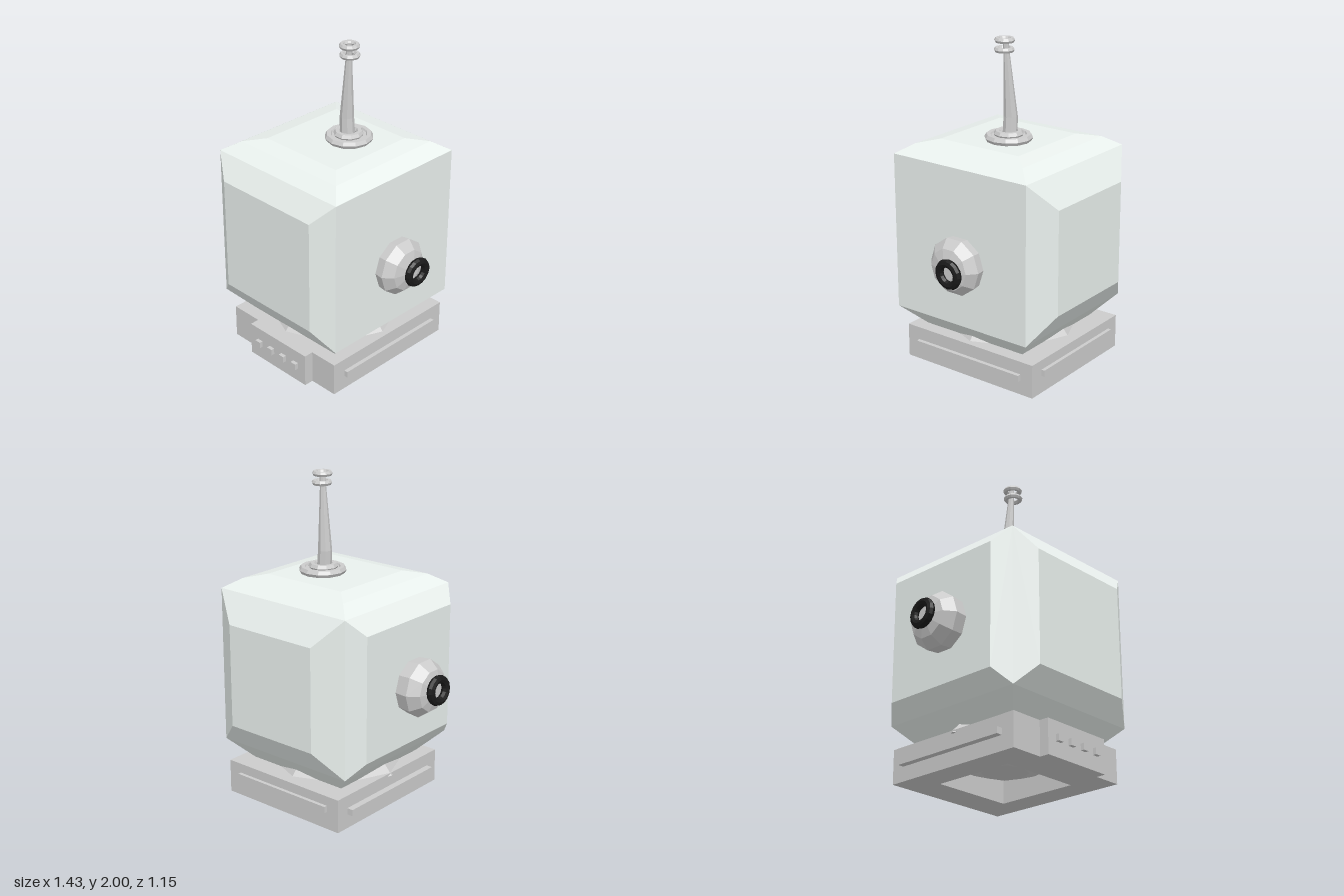
import * as THREE from 'three';

const mat = (color) => new THREE.MeshStandardMaterial({ color, flatShading: true, side: THREE.DoubleSide });
const grey = mat(0xcccccc), shell = mat(0xe9f0ed), black = mat(0x1a1a1a);

function add(parent, name, geometry, material, x = 0, y = 0, z = 0) {
  const m = new THREE.Mesh(geometry, material);
  m.name = name;
  m.position.set(x, y, z);
  parent.add(m);
  return m;
}

// A box whose sides each step outward through smaller rectangles.
// Rectangles lie on axis n as [position, a0, a1, b0, b1], a and b being the next axes in cyclic order.
function headGeometry() {
  const min = [-0.425, 0.34, -0.475], max = [0.535, 1.31, 0.49];
  const panels = [
    [0, 1, []],
    [0, -1, [[-0.51, 0.44, 1.21, -0.385, 0.40]]],
    [1, 1, [[1.368, -0.385, 0.40, -0.335, 0.445], [1.39, -0.275, 0.295, -0.225, 0.34]]],
    [1, -1, [[0.21, -0.355, 0.37, -0.295, 0.405]]],
    [2, 1, [[0.575, -0.30, 0.41, 0.47, 1.18]]],
    [2, -1, [[-0.58, -0.26, 0.37, 0.50, 1.14]]],
  ];
  const pos = [];
  const quad = (p, flip) => {
    const order = flip ? [0, 2, 1, 0, 3, 2] : [0, 1, 2, 0, 2, 3];
    order.forEach((i) => pos.push(...p[i]));
  };
  for (const [n, dir, steps] of panels) {
    const a = (n + 1) % 3, b = (n + 2) % 3;
    const corners = ([h, a0, a1, b0, b1]) => [[a0, b0], [a1, b0], [a1, b1], [a0, b1]].map(([u, v]) => {
      const p = [0, 0, 0];
      p[n] = h; p[a] = u; p[b] = v;
      return p;
    });
    let outer = corners([dir > 0 ? max[n] : min[n], min[a], max[a], min[b], max[b]]);
    for (const step of steps) {
      const inner = corners(step);
      for (let k = 0; k < 4; k++) {
        const j = (k + 1) % 4;
        quad([outer[k], outer[j], inner[j], inner[k]], dir < 0);
      }
      outer = inner;
    }
    quad(outer, dir < 0);
  }
  const g = new THREE.BufferGeometry();
  g.setAttribute('position', new THREE.Float32BufferAttribute(pos, 3));
  g.computeVertexNormals();
  return g;
}

const lathe = (points, sides) =>
  new THREE.LatheGeometry(points.map(([r, y]) => new THREE.Vector2(r, y)), sides);

// Faceted ear cap with a dark ring at its tip
function makeEar(name, side, x, y, z, length, shoulder, ringY, ringZ) {
  const ear = new THREE.Group();
  ear.name = name;
  const cap = add(ear, 'earCap', lathe([[0.165, -0.03], [0.176, shoulder], [0.128, length],
    [0.06, length + 0.02], [0, length + 0.02]], 10), grey, x, y, z);
  cap.rotation.z = -side * Math.PI / 2;
  const ring = add(ear, 'earRing', new THREE.TorusGeometry(0.068, 0.025, 8, 16), black,
    x + side * (length + 0.035), ringY, ringZ);
  ring.rotation.set(0, Math.PI / 2 - 0.05, 0);
  ring.rotation.order = 'ZYX';
  ring.rotation.z = -0.05;
  return ear;
}

function makeBase() {
  const base = new THREE.Group();
  base.name = 'base';
  // Square frame with a stepped front and an opening underneath
  const outline = [[-0.385, 0.49], [0.49, 0.49], [0.49, -0.455], [0.305, -0.455], [0.305, -0.515],
    [-0.175, -0.515], [-0.175, -0.455], [-0.385, -0.455]];
  const shape = new THREE.Shape(outline.map((p) => new THREE.Vector2(...p)));
  const hole = [[-0.21, -0.25], [0.32, -0.25], [0.32, 0.28], [-0.21, 0.28]];
  shape.holes.push(new THREE.Path(hole.map((p) => new THREE.Vector2(...p))));
  const frame = new THREE.ExtrudeGeometry(shape, { depth: 0.21, bevelEnabled: false });
  frame.rotateX(-Math.PI / 2);
  add(base, 'baseFrame', frame, grey);
  // Raised strips on the sides and back
  for (const [name, x] of [['leftStrip', 0.49], ['rightStrip', -0.4]]) {
    add(base, name, new THREE.BoxGeometry(0.05, 0.04, 0.775), grey, x, 0.11, -0.018);
  }
  add(base, 'backStrip', new THREE.BoxGeometry(0.7, 0.04, 0.05), grey, 0.05, 0.13, -0.487);
  // Front buttons
  for (let i = 0; i < 4; i++) {
    add(base, 'button', new THREE.BoxGeometry(0.04, 0.04, 0.05), grey, -0.092 + i * 0.105, 0.11, 0.513);
  }
  return base;
}

function makeAntenna() {
  const antenna = new THREE.Group();
  antenna.name = 'antenna';
  const torus = (name, r, t, x, y, z, sides) =>
    add(antenna, name, new THREE.TorusGeometry(r, t, 6, sides).rotateX(Math.PI / 2), grey, x, y, z);
  torus('mountRing', 0.12, 0.024, 0.118, 1.409, -0.037, 12);
  torus('mountCollar', 0.068, 0.022, 0.115, 1.43, -0.035, 10);
  add(antenna, 'mountDisc', new THREE.CylinderGeometry(0.12, 0.12, 0.03, 12), grey, 0.118, 1.405, -0.037);
  // Slightly bent, tapering stem: sections are [x, y, z, radius]
  const sections = [[0.106, 1.40, -0.037, 0.045], [0.099, 1.53, -0.037, 0.042],
    [0.122, 1.9, -0.026, 0.019], [0.128, 1.985, -0.025, 0.017]];
  const stem = new THREE.CylinderGeometry(1, 1, 1, 8, 3, true);
  const p = stem.attributes.position;
  for (let i = 0; i < p.count; i++) {
    const [x, y, z, r] = sections[Math.round((p.getY(i) + 0.5) * 3)];
    p.setXYZ(i, x + p.getX(i) * r, y, z + p.getZ(i) * r);
  }
  stem.computeVertexNormals();
  add(antenna, 'stem', stem, grey);
  torus('lowerTipRing', 0.045, 0.016, 0.136, 1.929, -0.02, 12);
  torus('upperTipRing', 0.045, 0.016, 0.132, 1.984, -0.02, 12);
  return antenna;
}

export function createModel() {
  const model = new THREE.Group();
  model.name = 'robotHead';
  add(model, 'head', headGeometry(), shell);
  // Flattened ball joint between the base and head
  add(model, 'neck', lathe([[0, 0.05], [0.14, 0.06], [0.25, 0.1], [0.43, 0.195], [0.37, 0.265], [0, 0.3]], 8),
    grey, 0.035, 0, 0);
  model.add(makeBase(), makeAntenna());
  model.add(makeEar('leftEar', 1, 0.535, 0.735, -0.005, 0.11, 0.055, 0.725, -0.035));
  model.add(makeEar('rightEar', -1, -0.51, 0.8, 0.045, 0.145, 0.08, 0.81, 0.048));
  return model;
}
